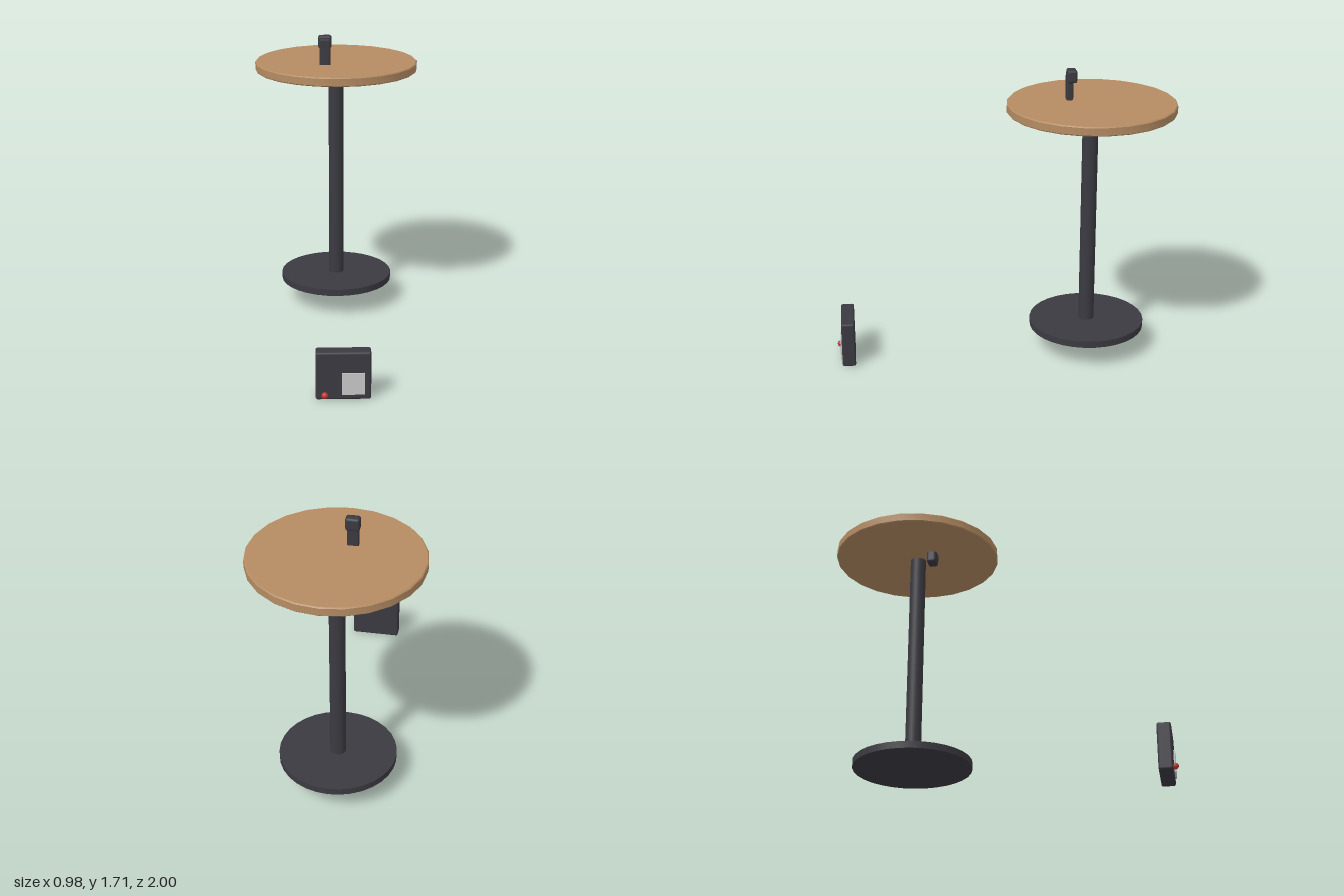
import * as THREE from 'three';
import { toCreasedNormals } from 'three/addons/utils/BufferGeometryUtils.js';
import { RoundedBoxGeometry } from 'three/addons/geometries/RoundedBoxGeometry.js';

const material = (name, color) => {
  const m = new THREE.MeshStandardMaterial({ color });
  m.name = name;
  return m;
};

export function createModel() {
  const model = new THREE.Group();
  model.name = 'tableAndControlBox';
  const wood = material('wood', 0xb58c63);
  const charcoal = material('charcoal', 0x3b3a41);
  const silver = material('silver', 0xc8c8ca);
  const red = material('red', 0xc8362f);

  const add = (parent, name, geometry, mat, x, y, z) => {
    const mesh = new THREE.Mesh(geometry, mat);
    mesh.name = name;
    mesh.position.set(x, y, z);
    parent.add(mesh);
  };
  const group = (name) => {
    const g = new THREE.Group();
    g.name = name;
    model.add(g);
    return g;
  };

  // Disc with bevelled rims, standing on y = 0
  const disc = (r, h, bevel, sides) => toCreasedNormals(new THREE.LatheGeometry([
    [0, 0], [r - bevel, 0], [r, bevel], [r, h - bevel], [r - bevel, h], [0, h],
  ].map(([x, y]) => new THREE.Vector2(x, y)), sides), 0.6);

  // Round pedestal table
  const table = group('table');
  add(table, 'tableTop', disc(0.49, 0.054, 0.006, 24), wood, 0, 1.485, -0.51);
  add(table, 'pole', new THREE.CylinderGeometry(0.046, 0.046, 1.33, 24), charcoal, 0, 0.835, -0.505);
  add(table, 'base', new THREE.CylinderGeometry(0.342, 0.342, 0.04, 32), charcoal, 0, 0.162, -0.505);

  // Clamp passing through the table top
  const clamp = group('clamp');
  add(clamp, 'clampStem', new RoundedBoxGeometry(0.064, 0.26, 0.038, 2, 0.008), charcoal, -0.07, 1.565, -0.39);
  for (const [name, y] of [['clampHead', 1.676], ['clampFoot', 1.456]]) {
    add(clamp, name, new RoundedBoxGeometry(0.08, 0.076, 0.056, 2, 0.014), charcoal, -0.07, y, -0.402);
  }

  // Control box in front of the table
  const box = group('controlBox');
  add(box, 'housing', new RoundedBoxGeometry(0.298, 0.274, 0.08, 2, 0.012), charcoal, 0, 0.14, 0.931);
  add(box, 'panel', new THREE.BoxGeometry(0.124, 0.124, 0.009), silver, 0.053, 0.098, 0.9755);
  add(box, 'button', new THREE.SphereGeometry(0.018, 16, 12), red, -0.1, 0.034, 0.982);

  return model;
}
